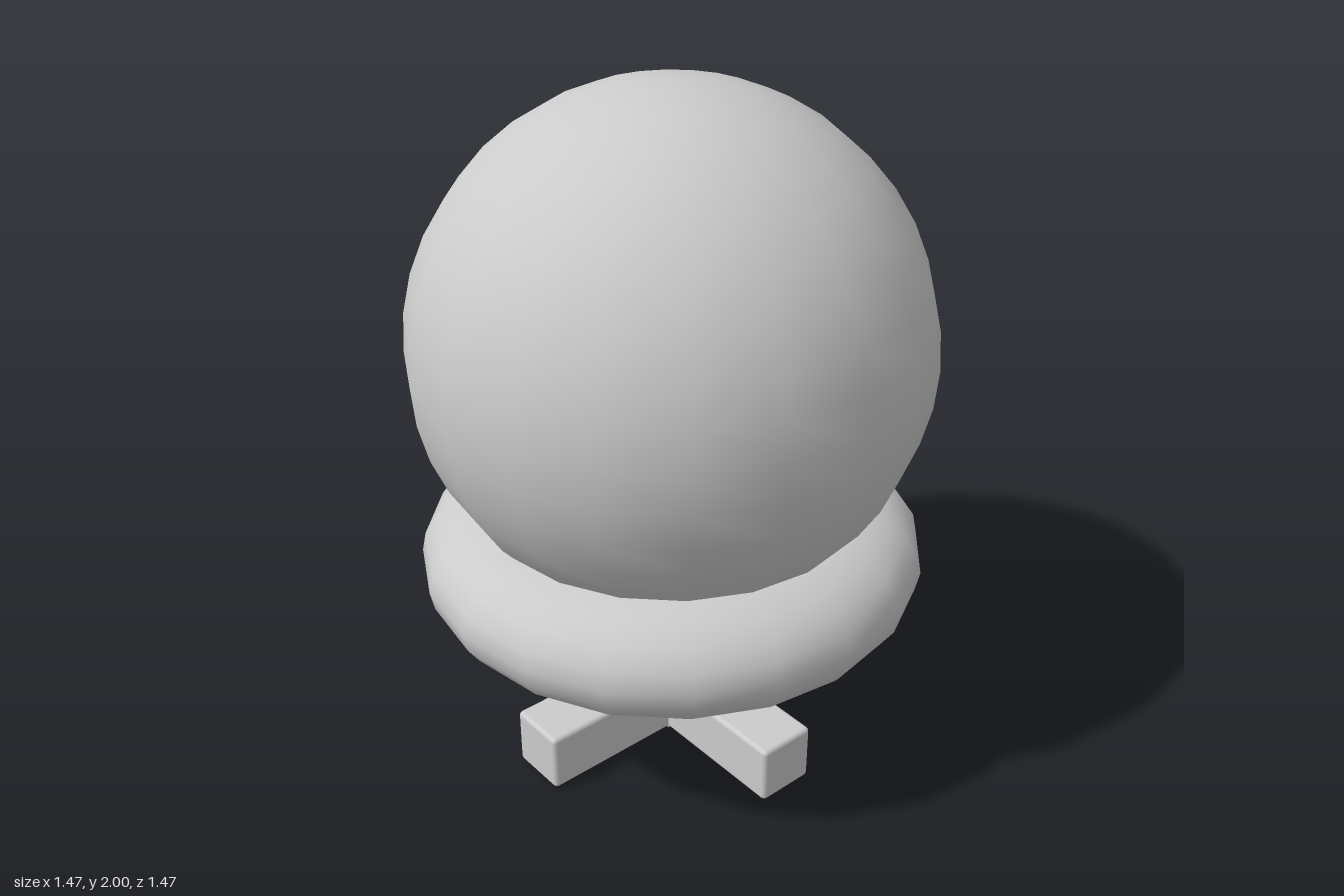
import * as THREE from 'three';
import { RoundedBoxGeometry } from 'three/addons/geometries/RoundedBoxGeometry.js';

export function createModel() {
  const group = new THREE.Group();
  const material = new THREE.MeshStandardMaterial({ color: 0xcccccc });

  function add(name, geometry, y) {
    const mesh = new THREE.Mesh(geometry, material);
    mesh.name = name;
    mesh.position.y = y;
    group.add(mesh);
    return mesh;
  }

  // Large ball resting in the ring
  add('ball', new THREE.SphereGeometry(0.735, 20, 20), 1.265);

  // Flattened ring cushion, lying flat
  const ring = new THREE.TorusGeometry(0.493, 0.242, 20, 20);
  ring.rotateX(Math.PI / 2);
  ring.scale(1, 0.183 / 0.242, 1);
  add('ringCushion', ring, 0.618);

  // Square post running up into the ball
  add('post', new RoundedBoxGeometry(0.18, 0.64, 0.18, 2, 0.01), 0.32);

  // Two crossed bars forming the foot
  for (const [name, angle] of [['footBarAcross', 0], ['footBarAlong', Math.PI / 2]]) {
    const bar = add(name, new RoundedBoxGeometry(1.04, 0.18, 0.18, 2, 0.014), 0.098);
    bar.rotation.y = angle;
  }

  return group;
}
